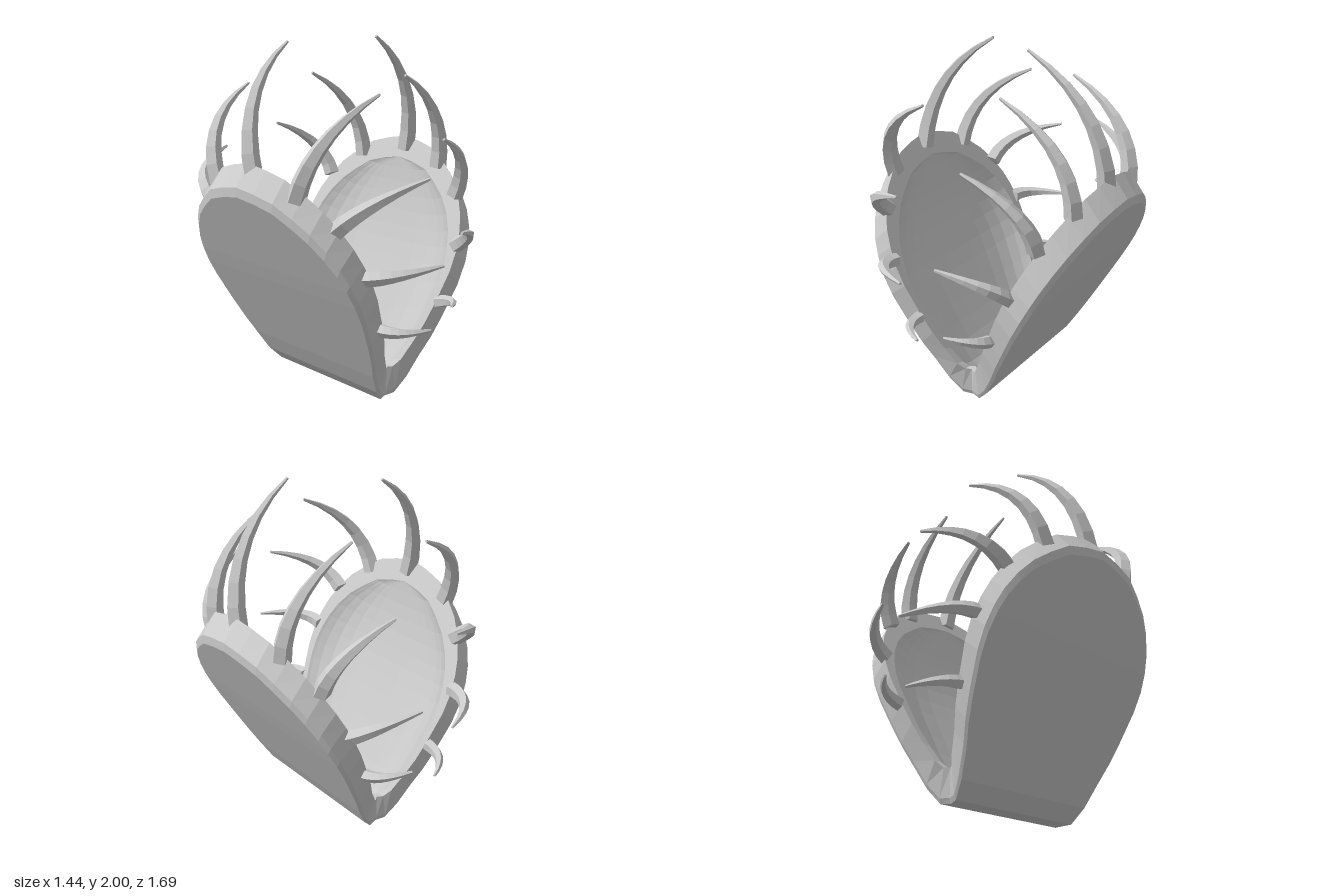
import * as THREE from 'three';

const material = new THREE.MeshStandardMaterial({ color: 0xcccccc, flatShading: true });

// Lobe profile seen from the front: [u, x, y], u runs from hinge to tip
const OUTER = [[0, 0, 0], [0.04, 0.06, 0.005], [0.1, 0.135, 0.09], [0.2, 0.21, 0.22], [0.6, 0.49, 0.75], [1, 0.735, 1.25]];
const INNER = [[0, 0, 0.18], [0.04, 0.03, 0.18], [0.1, 0.065, 0.22], [0.2, 0.125, 0.32], [0.6, 0.37, 0.84], [1, 0.635, 1.38]];

// Half outline of a lobe: [z, u]
const HALF = [[0.4, 0], [0.42, 0.04], [0.45, 0.1], [0.487, 0.2], [0.525, 0.28], [0.555, 0.37], [0.588, 0.5], [0.592, 0.58],
  [0.577, 0.655], [0.55, 0.72], [0.5, 0.79], [0.43, 0.855], [0.34, 0.91], [0.24, 0.96], [0.12, 0.985], [0, 1]];
const OUTLINE = [...HALF.map(([z, u]) => [-z, u]), ...HALF.slice(0, -1).reverse()];

// Bevel, edge and lip around the outline: [scale, depth from outer (0) to inner (1)]
const BACK = 0.975, OPENING = 0.91, COLUMNS = 14;
const RIM = [[BACK, 0], [1, 0.15], [1, 1], [OPENING, 1]];

function sample(profile, u) {
  let i = 1;
  while (i < profile.length - 1 && profile[i][0] < u) i++;
  const a = profile[i - 1], b = profile[i];
  const f = (u - a[0]) / (b[0] - a[0]);
  return new THREE.Vector2(a[1] + (b[1] - a[1]) * f, a[2] + (b[2] - a[2]) * f);
}

function lobeGeometry() {
  const pos = [], index = [];

  // Grid of points; at(row, column) gives [z, u, depth]
  const patch = (rows, columns, at) => {
    const start = pos.length / 3;
    for (let i = 0; i < rows; i++) {
      for (let j = 0; j < columns; j++) {
        const [z, u, depth] = at(i, j);
        const p = sample(OUTER, u).lerp(sample(INNER, u), depth);
        pos.push(p.x, p.y, z);
        if (i < rows - 1 && j < columns - 1) {
          const a = start + i * columns + j, b = a + columns;
          index.push(a, b, a + 1, a + 1, b, b + 1);
        }
      }
    }
  };

  // flat back
  patch(HALF.length, COLUMNS + 1, (i, j) => {
    const [z, u] = HALF[i];
    return [z * BACK * (2 * j / COLUMNS - 1), u * BACK, 0];
  });
  // rim
  patch(RIM.length, OUTLINE.length, (i, j) => {
    const [scale, depth] = RIM[i], [z, u] = OUTLINE[j];
    return [z * scale, u * scale, depth];
  });
  // hollow inside, deepest in the middle
  patch(HALF.length, COLUMNS + 1, (i, j) => {
    const [z, u] = HALF[i];
    const v = Math.sin((0.5 - j / COLUMNS) * Math.PI);
    const wall = 1 - (1 - Math.abs(v) ** 5) * (1 - u ** 5);
    return [z * OPENING * v, u * OPENING, 0.2 + 0.8 * wall];
  });

  const g = new THREE.BufferGeometry();
  g.setAttribute('position', new THREE.Float32BufferAttribute(pos, 3));
  g.setIndex(index);
  g.computeVertexNormals();
  return g;
}

// Tapered spike bent along a curve from base to tip
function toothGeometry(base, tip, radius) {
  const control = base.clone().lerp(tip, 0.66);
  control.x = base.x + Math.sign(base.x) * 0.015;
  const curve = new THREE.QuadraticBezierCurve3(base, control, tip);
  const g = new THREE.CylinderGeometry(1, 1, 1, 5, 7);
  const p = g.attributes.position;
  const chord = tip.clone().sub(base);
  const side = chord.clone().cross(control.clone().sub(base)).normalize();
  for (let i = 0; i < p.count; i++) {
    const t = p.getY(i) + 0.5;
    const r = radius * (1 - t ** 1.4) + 0.008;
    const tangent = curve.getTangent(t);
    const across = tangent.clone().cross(side);
    const v = curve.getPoint(t)
      .addScaledVector(side, p.getX(i) * r)
      .addScaledVector(across, -p.getZ(i) * r);
    p.setXYZ(i, v.x, v.y, v.z);
  }
  g.computeVertexNormals();
  return g;
}

// Teeth: base, tip, radius, and how much lower the tip of the rear twin is
const LEFT_TEETH = [
  [[0.615, 1.3, 0.02], [0.19, 1.99, 0.13], 0.045],
  [[0.58, 1.23, 0.29], [0.175, 1.79, 0.35], 0.044, 0.02],
  [[0.485, 1.1, 0.48], [0.145, 1.48, 0.635], 0.042, 0.03],
  [[0.38, 0.84, 0.565], [0.1, 1.02, 0.8], 0.036, 0.03],
  [[0.25, 0.54, 0.55], [0.1, 0.61, 0.755], 0.029, 0.01],
];
const RIGHT_TEETH = [
  [[-0.62, 1.3, 0.02], [-0.22, 1.965, -0.14], 0.045],
  [[-0.595, 1.23, 0.3], [-0.2, 1.725, 0.49], 0.044, 0],
  [[-0.49, 1.09, 0.48], [-0.15, 1.335, 0.77], 0.042, 0.01],
  [[-0.385, 0.84, 0.565], [-0.1, 0.9, 0.835], 0.036, 0.07],
  [[-0.24, 0.52, 0.55], [-0.08, 0.53, 0.755], 0.029, 0.04],
];

function addTeeth(group, rows) {
  rows.forEach(([base, tip, radius, drop], row) => {
    for (const s of row === 0 ? [1] : [1, -1]) {
      const b = new THREE.Vector3(base[0], base[1], base[2] * s);
      const t = new THREE.Vector3(tip[0], tip[1] - (s < 0 ? drop : 0), tip[2] * s);
      const tooth = new THREE.Mesh(toothGeometry(b, t, radius), material);
      tooth.name = 'tooth';
      group.add(tooth);
    }
  });
}

export function createModel() {
  const model = new THREE.Group();
  model.name = 'snapTrap';
  const shell = lobeGeometry();

  for (const [side, teeth, turn] of [['left', LEFT_TEETH, 0], ['right', RIGHT_TEETH, Math.PI]]) {
    const lobe = new THREE.Mesh(shell, material);
    lobe.name = side + 'Lobe';
    lobe.rotation.y = turn;
    const group = new THREE.Group();
    group.name = side + 'Teeth';
    addTeeth(group, teeth);
    model.add(lobe, group);
  }
  return model;
}
